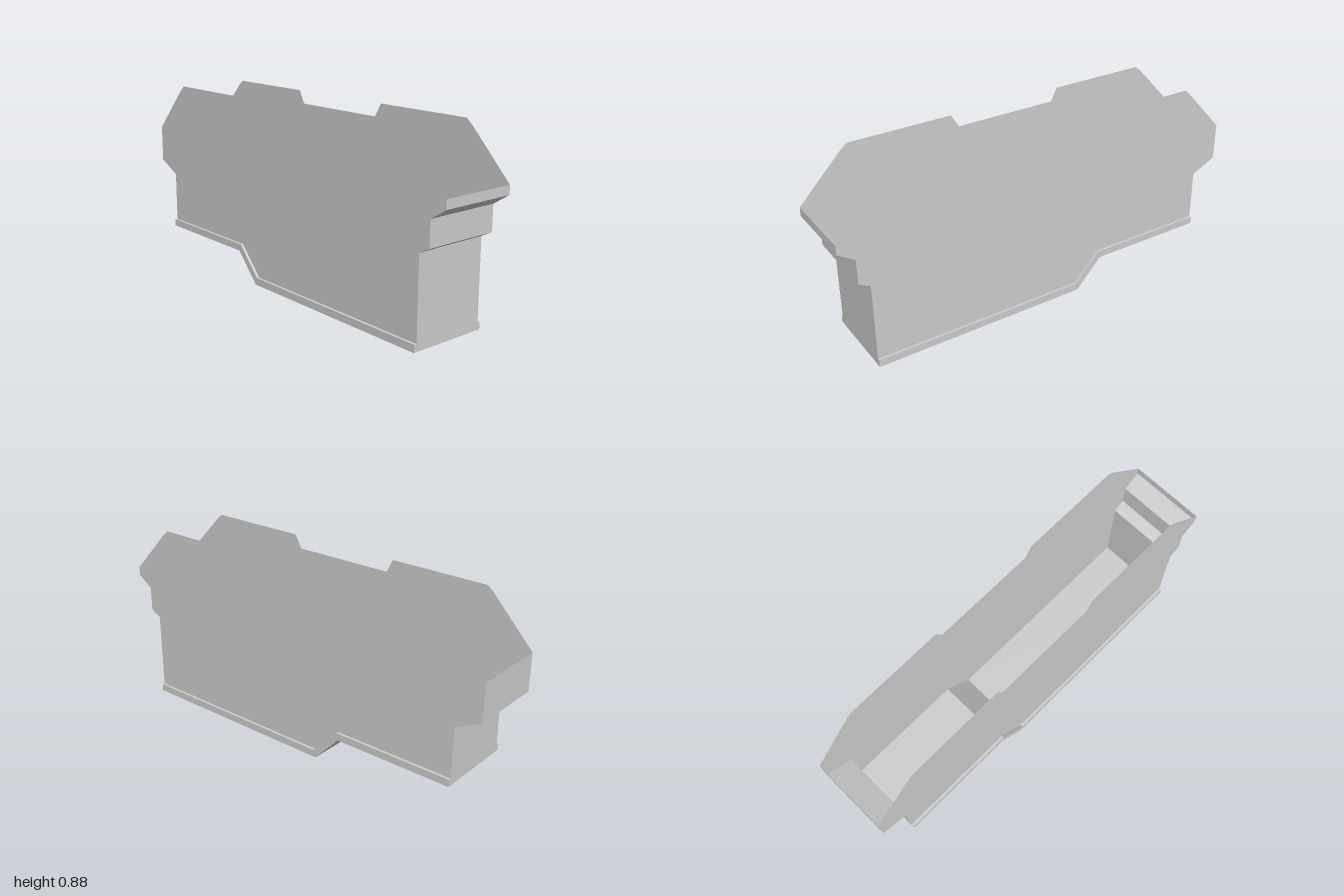
import * as THREE from 'three';

const HALF = 0.18;   // half depth of the shell
const LIP = 0.193;   // half depth at the bottom lip

const material = new THREE.MeshStandardMaterial({
  color: 0xcccccc, flatShading: true, side: THREE.DoubleSide,
});

// Outlines in x, y, running left to right
const leftEnd = [[-1, 0.643], [-1, 0.468], [-0.877, 0.411]];
const rightEnd = [[0.868, 0.407], [0.921, 0.435], [0.921, 0.552], [0.998, 0.602], [0.998, 0.643]];
const bottom = [[-0.877, 0.137], [-0.3, 0.137], [-0.17, 0], [0.868, 0]];
const ledge = [[-0.877, 0.171], [-0.288, 0.171], [-0.16, 0.035], [0.868, 0.035]];
const rim = [
  [0.8, 0.847], [0.765, 0.877], [0.27, 0.877], [0.233, 0.815],
  [-0.265, 0.815], [-0.297, 0.877], [-0.773, 0.877], [-0.8, 0.855],
];

const toShape = (points) => new THREE.Shape(points.map(([x, y]) => new THREE.Vector2(x, y)));

// Thin sheet that sweeps a path across the depth
function sheet(path) {
  const positions = [];
  for (let i = 0; i < path.length - 1; i++) {
    const [ax, ay] = path[i];
    const [bx, by] = path[i + 1];
    positions.push(ax, ay, -HALF, bx, by, -HALF, bx, by, HALF);
    positions.push(ax, ay, -HALF, bx, by, HALF, ax, ay, HALF);
  }
  const geometry = new THREE.BufferGeometry();
  geometry.setAttribute('position', new THREE.Float32BufferAttribute(positions, 3));
  geometry.computeVertexNormals();
  return geometry;
}

export function createModel() {
  const model = new THREE.Group();
  model.name = 'openHousing';

  const add = (name, geometry) => {
    const mesh = new THREE.Mesh(geometry, material);
    mesh.name = name;
    model.add(mesh);
    return mesh;
  };

  // End walls and stepped floor; the top stays open
  add('leftEndWall', sheet([...leftEnd, bottom[0]]));
  add('floor', sheet(bottom));
  add('rightEndWall', sheet([bottom[3], ...rightEnd]));

  const plateShape = toShape([...leftEnd, ...ledge, ...rightEnd, ...rim]);
  const lipShape = toShape([...bottom, ...[...ledge].reverse()]);

  for (const side of [1, -1]) {
    const prefix = side > 0 ? 'front' : 'back';

    // Thin side plate with a notched upper edge
    const plate = new THREE.ShapeGeometry(plateShape);
    if (side < 0) {
      plate.index.array.reverse();
      plate.computeVertexNormals();
    }
    add(prefix + 'Plate', plate).position.z = side * HALF;

    // Raised lip along the bottom edge
    const lip = new THREE.ExtrudeGeometry(lipShape, { depth: LIP - HALF, bevelEnabled: false });
    add(prefix + 'Lip', lip).position.z = side > 0 ? HALF : -LIP;
  }
  return model;
}
